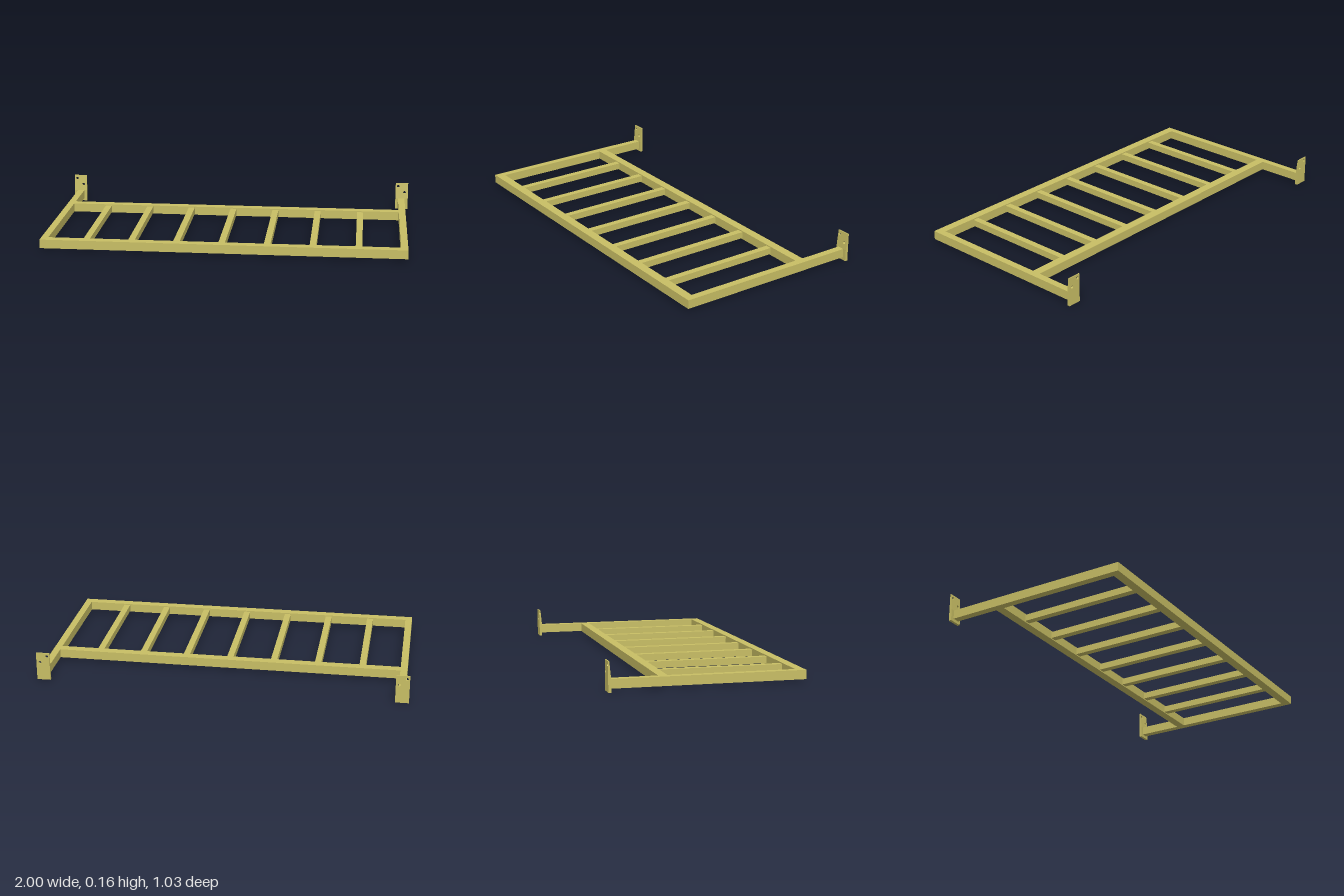
import * as THREE from 'three';

export function createModel() {
  const group = new THREE.Group();
  group.name = 'slattedFrame';
  const paint = new THREE.MeshStandardMaterial({ color: 0xc8be64 });
  paint.name = 'mustard paint';

  // Box given by its limits along each axis
  function bar(name, [x0, x1], [y0, y1], [z0, z1], parent = group) {
    const mesh = new THREE.Mesh(new THREE.BoxGeometry(x1 - x0, y1 - y0, z1 - z0), paint);
    mesh.position.set((x0 + x1) / 2, (y0 + y1) / 2, (z0 + z1) / 2);
    mesh.name = name;
    parent.add(mesh);
  }

  // Outer frame
  const height = [0.016, 0.064];
  const inner = 0.942, outer = 0.98;
  bar('leftSideBar', [inner, outer], height, [-0.501, 0.515]);
  bar('rightSideBar', [-outer, -inner], height, [-0.501, 0.515]);
  bar('frontRail', [-inner, inner], height, [0.467, 0.515]);
  bar('backRail', [-inner, inner], height, [-0.25, -0.202]);

  // Slats between the two rails
  for (let i = 0; i < 7; i++) {
    const x = -0.007 + (i - 3) * 0.243;
    bar('slat' + (i + 1), [x - 0.0175, x + 0.0175], [0.022, 0.058], [-0.202, 0.467]);
  }

  // Mounting plate: straight foot, upper half thins toward the top with two bolt holes
  const back = -0.515, front = -0.5, bend = 0.064, top = 0.155, width = 0.073;
  function mountingPlate(name, x) {
    const plate = new THREE.Group();
    plate.name = name;
    plate.position.x = x;
    group.add(plate);
    bar('plateFoot', [0, width], [0, bend], [back, front], plate);

    const shape = new THREE.Shape([
      new THREE.Vector2(0, bend), new THREE.Vector2(width, bend),
      new THREE.Vector2(width, top), new THREE.Vector2(0, top),
    ]);
    for (const [hx, hy] of [[0.015, 0.136], [0.053, 0.1]]) {
      shape.holes.push(new THREE.Path().absarc(hx, hy, 0.008, 0, Math.PI * 2, true));
    }
    const geometry = new THREE.ExtrudeGeometry(shape, {
      depth: front - back, bevelEnabled: false, curveSegments: 16,
    });
    geometry.translate(0, 0, back);
    const pos = geometry.attributes.position;
    for (let i = 0; i < pos.count; i++) {
      if (pos.getZ(i) > back + 0.005) {
        pos.setZ(i, front - 0.009 * (pos.getY(i) - bend) / (top - bend));
      }
    }
    geometry.computeVertexNormals();
    const upper = new THREE.Mesh(geometry, paint);
    upper.name = 'plateTop';
    plate.add(upper);
  }
  mountingPlate('leftMountingPlate', 1 - width);
  mountingPlate('rightMountingPlate', -1);

  return group;
}
